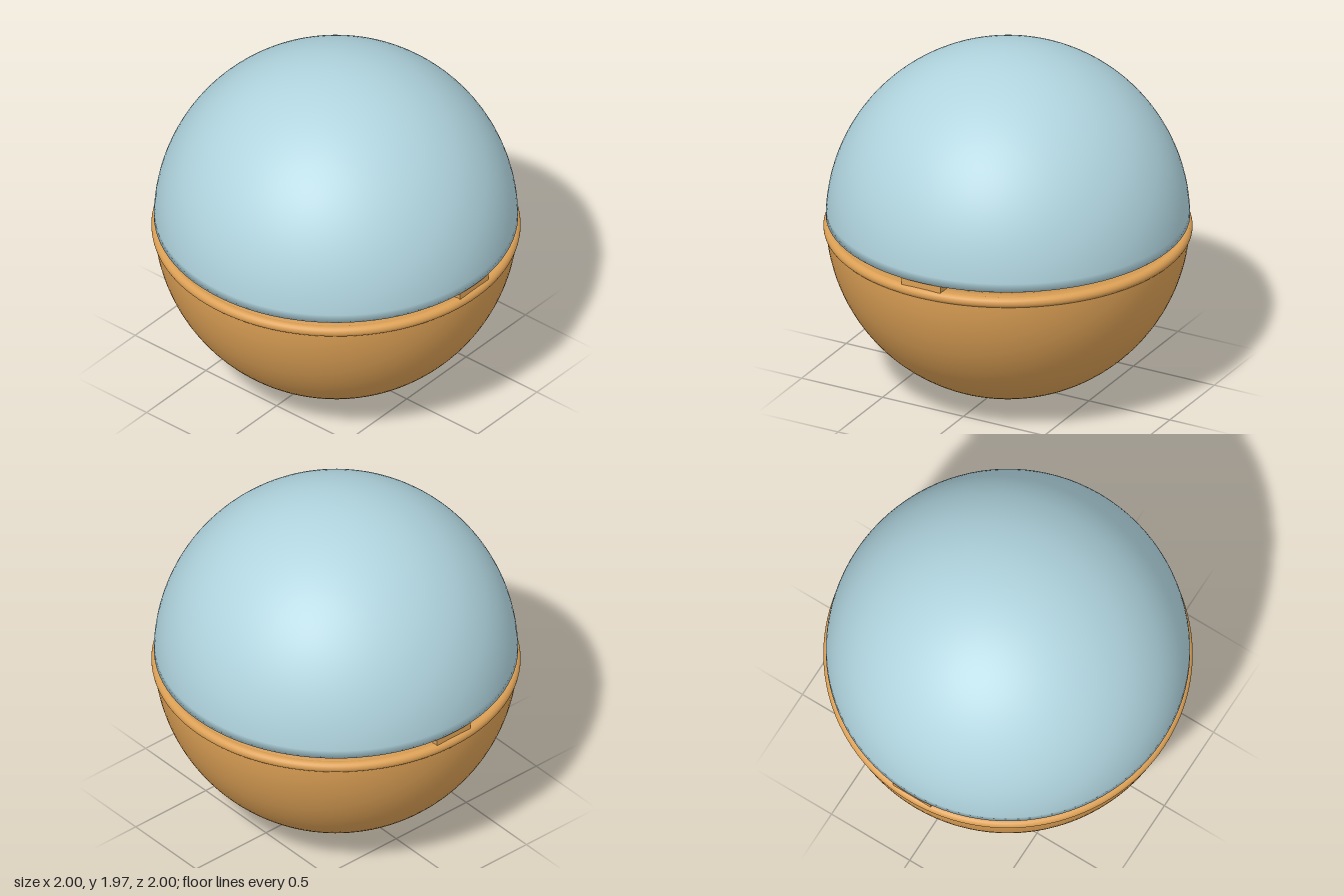
import * as THREE from 'three';

const R = 0.987, INNER = 0.905, CY = 0.994; // shell radii and centre height
const SEAM = { lid: 1.01, bowl: 0.97 };

// Hollow half-sphere shell; the shared rim points soften the lip normals
function shell(name, sign, rimY, material) {
  const steps = 32, h = rimY - CY;
  const arc = (r) => {
    const start = Math.asin(sign * h / r), pts = [];
    for (let i = 0; i <= steps; i++) {
      const a = start + (Math.PI / 2 - start) * i / steps;
      pts.push(new THREE.Vector2(i === steps ? 0 : r * Math.cos(a), CY + sign * r * Math.sin(a)));
    }
    return pts; // rim to pole
  };
  const outer = arc(R), inner = arc(INNER);
  const profile = sign > 0 ? [...inner.reverse(), ...outer] : [...outer.reverse(), ...inner];
  const mesh = new THREE.Mesh(new THREE.LatheGeometry(profile, 96), material);
  mesh.name = name;
  return mesh;
}

export function createModel() {
  const blue = new THREE.MeshStandardMaterial({ color: 0xb0d4de });
  blue.name = 'pale blue';
  const amber = new THREE.MeshStandardMaterial({ color: 0xdca055 });
  amber.name = 'amber';

  const group = new THREE.Group();
  group.name = 'capsule';
  group.add(shell('upperShell', 1, SEAM.lid, blue));
  group.add(shell('lowerShell', -1, SEAM.bowl, amber));

  // Rounded bead around the lower rim
  const bead = new THREE.Mesh(new THREE.TorusGeometry(0.97, 0.03, 20, 128), amber);
  bead.name = 'rimBead';
  bead.rotation.x = Math.PI / 2;
  bead.position.y = 0.943;
  group.add(bead);

  // Locking tabs that bridge the gap on both sides
  for (const side of [-1, 1]) {
    const tab = new THREE.Mesh(new THREE.BoxGeometry(0.08, 0.07, 0.24), amber);
    tab.name = side > 0 ? 'leftTab' : 'rightTab';
    tab.position.set(side * 0.938, 0.974, 0);
    group.add(tab);
  }
  return group;
}
